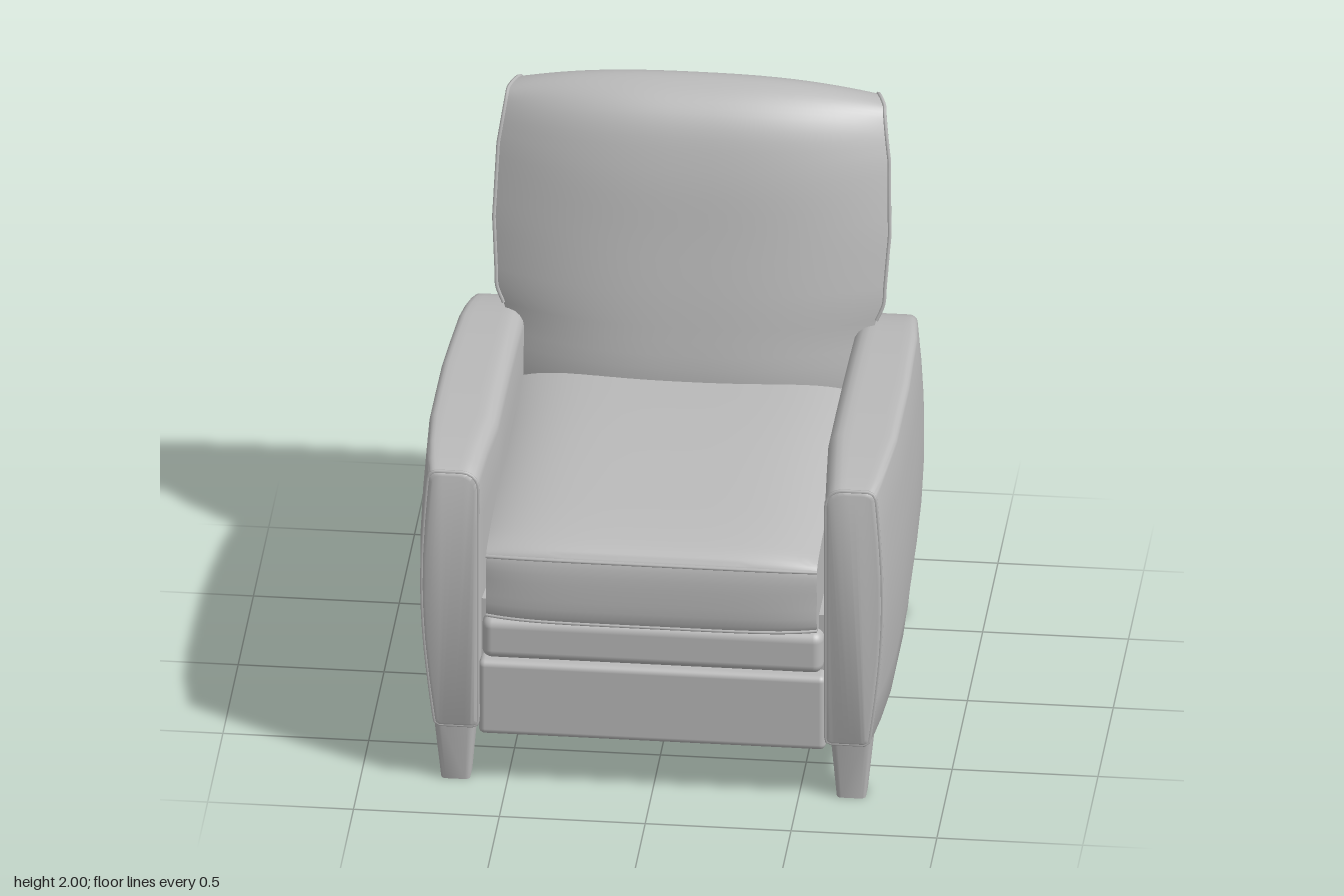
import * as THREE from 'three';
import { toCreasedNormals } from 'three/addons/utils/BufferGeometryUtils.js';
import { RoundedBoxGeometry } from 'three/addons/geometries/RoundedBoxGeometry.js';

const V = (x, y, z) => new THREE.Vector3(x, y, z);
const leather = new THREE.MeshStandardMaterial({ color: 0xbababa });
leather.name = 'grey leather';

// Piecewise linear lookup in [[key, value], ...] with rising keys
function at(table, k) {
  if (k <= table[0][0]) return table[0][1];
  for (let i = 1; i < table.length; i++) {
    const [k0, v0] = table[i - 1], [k1, v1] = table[i];
    if (k <= k1) return v0 + (v1 - v0) * (k - k0) / (k1 - k0);
  }
  return table[table.length - 1][1];
}

// Closed, capped solid through rings of equal point count, facing outward
function loft(rings, crease = 0.7) {
  const n = rings[0].length, end = (rings.length - 1) * n, pts = rings.flat(), tris = [];
  for (let j = 0; j < rings.length - 1; j++) {
    for (let i = 0; i < n; i++) {
      const a = j * n + i, b = j * n + (i + 1) % n;
      tris.push([a, b, a + n], [b, b + n, a + n]);
    }
  }
  for (let i = 0; i < Math.floor(n / 2); i++) {
    const k = n - 1 - i;
    if (i + 1 < k) tris.push([i + 1, i, k], [end + i, end + i + 1, end + k]);
    if (i + 1 < k - 1) tris.push([i + 1, k, k - 1], [end + i + 1, end + k - 1, end + k]);
  }
  let volume = 0;
  const c = V(0, 0, 0);
  for (const [p, q, r] of tris) volume += pts[p].dot(c.crossVectors(pts[q], pts[r]));
  const g = new THREE.BufferGeometry().setFromPoints(pts);
  g.setIndex(tris.flatMap(([p, q, r]) => (volume < 0 ? [p, r, q] : [p, q, r])));
  return toCreasedNormals(g, crease);
}

// Rounded rectangle in 2D; radii run from top right anticlockwise
function roundRect(x0, x1, y0, y1, radii, sideSteps = 1) {
  const out = [], corners = [[x1, y1, -1, -1], [x0, y1, 1, -1], [x0, y0, 1, 1], [x1, y0, -1, 1]];
  corners.forEach(([cx, cy, sx, sy], q) => {
    const r = radii[q];
    for (let i = 0; i <= 4; i++) {
      const a = (q + i / 4) * Math.PI / 2;
      out.push([cx + sx * r + r * Math.cos(a), cy + sy * r + r * Math.sin(a)]);
    }
    const next = corners[(q + 1) % 4], rn = radii[(q + 1) % 4];
    const a = out[out.length - 1], ang = (q + 1) * Math.PI / 2;
    const b = [next[0] + next[2] * rn + rn * Math.cos(ang), next[1] + next[3] * rn + rn * Math.sin(ang)];
    for (let i = 1; i < sideSteps; i++) {
      const t = i / sideSteps;
      out.push([a[0] + (b[0] - a[0]) * t, a[1] + (b[1] - a[1]) * t]);
    }
  });
  return out;
}

// Smooth side profile from [z, y] points
const profile = (pts, steps) =>
  new THREE.CatmullRomCurve3(pts.map(([z, y]) => V(0, y, z)), false, 'centripetal').getPoints(steps);

// Cushion rings across x, blending a middle profile into an end profile
function cushionRings(mid, edge, power, steps, widthAt) {
  const a = profile(mid, steps), b = profile(edge, steps), rings = [];
  for (let j = -14; j <= 14; j++) {
    const u = Math.sin(j / 14 * Math.PI / 2), t = Math.pow(Math.abs(u), power);
    rings.push(a.map((p, i) => {
      const q = p.clone().lerp(b[i], t);
      q.x = u * widthAt(q);
      return q;
    }));
  }
  return rings;
}

const welt = (pts, closed = false) =>
  new THREE.TubeGeometry(new THREE.CatmullRomCurve3(pts, closed, 'centripetal'), pts.length * 3, 0.007, 6, closed);

// Arm outline at depth z, shrunk by inset
function armRing(side, z, inset) {
  const top = at([[-0.69, 1.1], [-0.66, 1.13], [-0.6, 1.155], [-0.5, 1.178], [-0.3, 1.2], [0.1, 1.22], [0.6, 1.226], [0.79, 1.205]], z);
  const outer = at([[-0.69, 0.735], [-0.64, 0.76], [-0.4, 0.785], [0, 0.8], [0.4, 0.8], [0.65, 0.785], [0.79, 0.765]], z);
  const inner = at([[0.4, 0.565], [0.79, 0.595]], z);
  return roundRect(inner + inset, outer - inset, 0.225 + inset, top - inset, [0.025, 0.055, 0.015, 0.015], 6)
    .map(([x, y]) => {
      const h = (y - 0.225) / (top - 0.225);
      const swell = x > 0.68 ? 0.035 * Math.sin(Math.PI * Math.min(1, Math.max(0, h))) - 0.022 * (1 - h) : 0;
      return V(side * (x + swell), y, z);
    });
}

export function createModel() {
  const group = new THREE.Group();
  const add = (name, geometry) => {
    const m = new THREE.Mesh(geometry, leather);
    m.name = name;
    group.add(m);
    return m;
  };

  // Hidden frame and flat underside
  add('frame', new THREE.BoxGeometry(1.2, 0.45, 1.4)).position.set(0, 0.465, 0.02);

  // Seat cushion with crowned top
  const seat = cushionRings(
    [[-0.45, 0.64], [0.3, 0.64], [0.775, 0.64], [0.815, 0.66], [0.828, 0.78], [0.815, 0.9], [0.785, 0.935], [0.68, 0.972], [0.4, 1.002], [0, 1.018], [-0.45, 1.005]],
    [[-0.45, 0.65], [0.3, 0.65], [0.755, 0.65], [0.79, 0.665], [0.797, 0.78], [0.79, 0.89], [0.765, 0.91], [0.66, 0.928], [0.4, 0.945], [0, 0.955], [-0.45, 0.95]],
    5, 40, () => 0.567);
  add('seatCushion', loft(seat));
  for (const i of [12, 20]) add('seatWelt', welt(seat.map(r => r[i])));

  // Front rail and footrest panel
  add('frontRail', new RoundedBoxGeometry(1.17, 0.155, 0.25, 4, 0.035)).position.set(0, 0.5625, 0.655);
  add('footrestPanel', new RoundedBoxGeometry(1.19, 0.283, 0.11, 4, 0.022)).position.set(0, 0.3385, 0.73);

  // Leaning backrest, running down to the floor line of the body
  const width = [[0.24, 0.61], [1.1, 0.615], [1.17, 0.625], [1.25, 0.662], [1.5, 0.678], [1.75, 0.67], [1.92, 0.645], [2, 0.635]];
  const back = cushionRings(
    [[-0.45, 0.5], [-0.315, 0.95], [-0.34, 1.2], [-0.4, 1.5], [-0.455, 1.75], [-0.52, 1.91], [-0.6, 1.98], [-0.69, 2], [-0.77, 1.96], [-0.828, 1.86], [-0.785, 1.5], [-0.725, 1.15], [-0.7, 0.7], [-0.69, 0.235]],
    [[-0.5, 0.5], [-0.44, 0.95], [-0.47, 1.2], [-0.53, 1.5], [-0.595, 1.75], [-0.635, 1.86], [-0.67, 1.91], [-0.72, 1.925], [-0.78, 1.91], [-0.815, 1.85], [-0.77, 1.5], [-0.71, 1.15], [-0.69, 0.7], [-0.685, 0.235]],
    2.6, 65, p => at(width, p.y) - 0.35 * Math.max(0, -0.68 - p.z));
  add('backrest', loft(back));

  for (const side of [1, -1]) {
    const label = side > 0 ? 'left' : 'right';

    // Piping round the side panel of the backrest
    const edge = back[side > 0 ? back.length - 1 : 0];
    add(label + 'BackWelt', welt(edge.slice(10, 48)));

    // Arm, with softened front and rear edges
    const stations = [[0.79, 0.014], [0.784, 0.004], [0.77, 0], [0.7, 0], [0.6, 0], [0.4, 0], [0.2, 0], [0, 0], [-0.2, 0],
      [-0.4, 0], [-0.5, 0], [-0.58, 0], [-0.64, 0], [-0.67, 0.003], [-0.69, 0.015]];
    add(label + 'Arm', loft(stations.map(([z, inset]) => armRing(side, z, inset))));
    add(label + 'ArmWelt', welt(armRing(side, 0.779, 0.003), true));

    // Tapered legs with rounded corners
    for (const [name, zTop, zFoot] of [['FrontLeg', 0.693, 0.693], ['BackLeg', -0.605, -0.61]]) {
      const legRing = (y, x, z, h) => roundRect(x - h, x + h, z - h, z + h, Array(4).fill(h * 0.35))
        .map(([px, pz]) => V(side * px, y, pz));
      add(label + name, loft([legRing(0, 0.678, zFoot, 0.05), legRing(0.24, 0.68, zTop, 0.072)]));
    }
  }
  return group;
}
